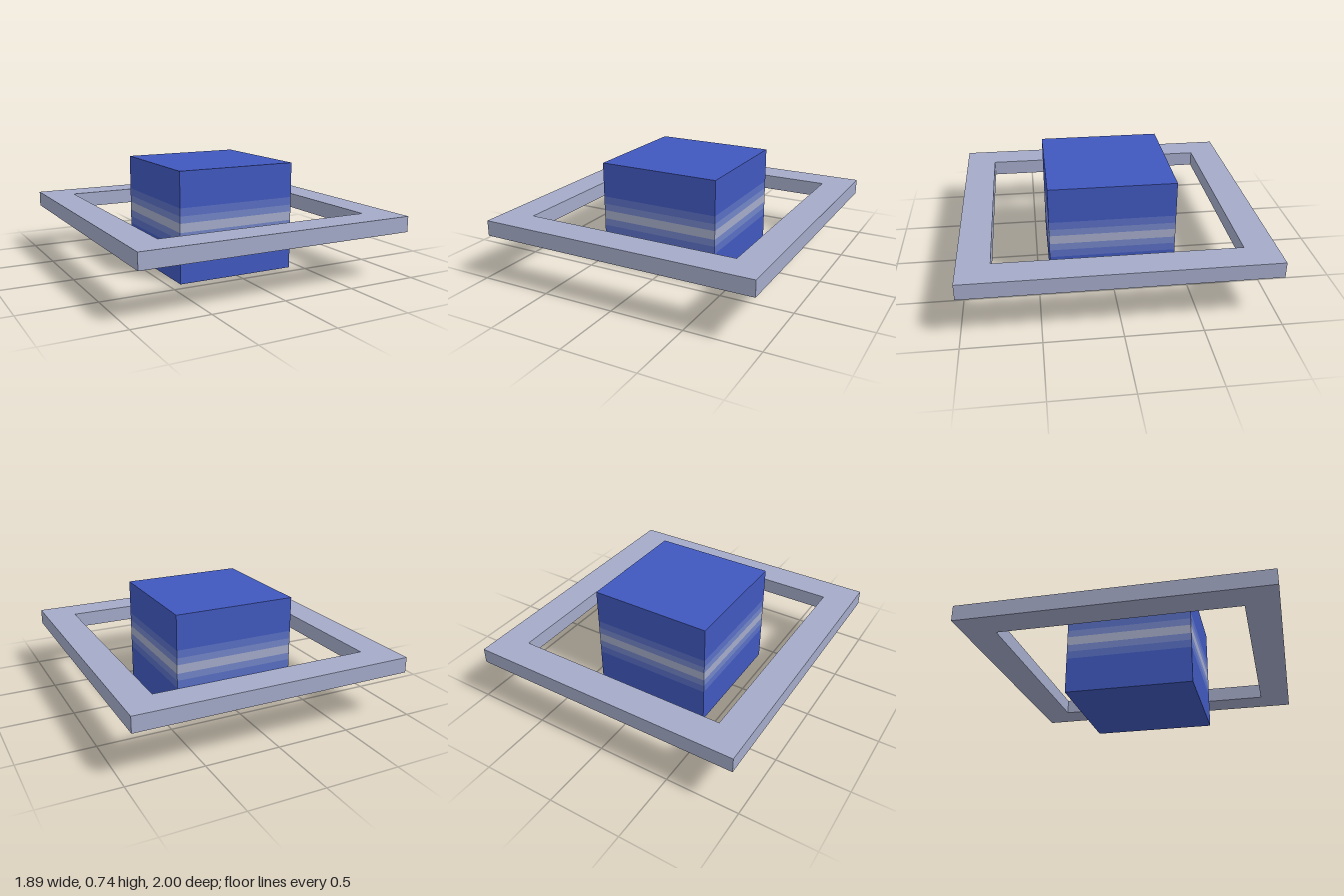
import * as THREE from 'three';

const material = (name, color) => new THREE.MeshStandardMaterial({ name, color });

export function createModel() {
  const group = new THREE.Group();
  const blue = material('blue', 0x4058be);
  const midBlue = material('midBlue', 0x596ec3);
  const paleBlue = material('paleBlue', 0x7284c6);
  const grey = material('grey', 0xa4abc9);

  // Cube: one box whose side rows are moved to the band heights
  const levels = [0, 0.24, 0.292, 0.34, 0.4, 0.447, 0.5, 0.737];
  const rows = levels.length - 1;
  const cube = new THREE.BoxGeometry(0.84, rows, 0.84, 1, rows, 1);
  const pos = cube.attributes.position;
  for (let i = 0; i < pos.count; i++) pos.setY(i, levels[Math.round(pos.getY(i) + rows / 2)]);

  // Symmetric bands, from blue at the edges to grey in the middle
  cube.clearGroups();
  let start = 0;
  const addQuad = (m) => {
    cube.addGroup(start, 6, m);
    start += 6;
  };
  for (let face = 0; face < 6; face++) {
    if (face === 2 || face === 3) addQuad(0);
    else for (let r = 0; r < rows; r++) addQuad(Math.min(r, rows - 1 - r));
  }
  const core = new THREE.Mesh(cube, [blue, midBlue, paleBlue, grey]);
  core.name = 'bandedCube';
  group.add(core);

  // Flat rectangular frame around the cube
  const rectangle = (target, x, z) => target.moveTo(-x, -z).lineTo(x, -z).lineTo(x, z).lineTo(-x, z).closePath();
  const outline = rectangle(new THREE.Shape(), 0.945, 1);
  outline.holes.push(rectangle(new THREE.Path(), 0.738, 0.79));
  const frameGeometry = new THREE.ExtrudeGeometry(outline, { depth: 0.105, bevelEnabled: false });
  frameGeometry.rotateX(-Math.PI / 2).translate(0, 0.318, 0);
  const frame = new THREE.Mesh(frameGeometry, grey);
  frame.name = 'ringFrame';
  group.add(frame);

  return group;
}
